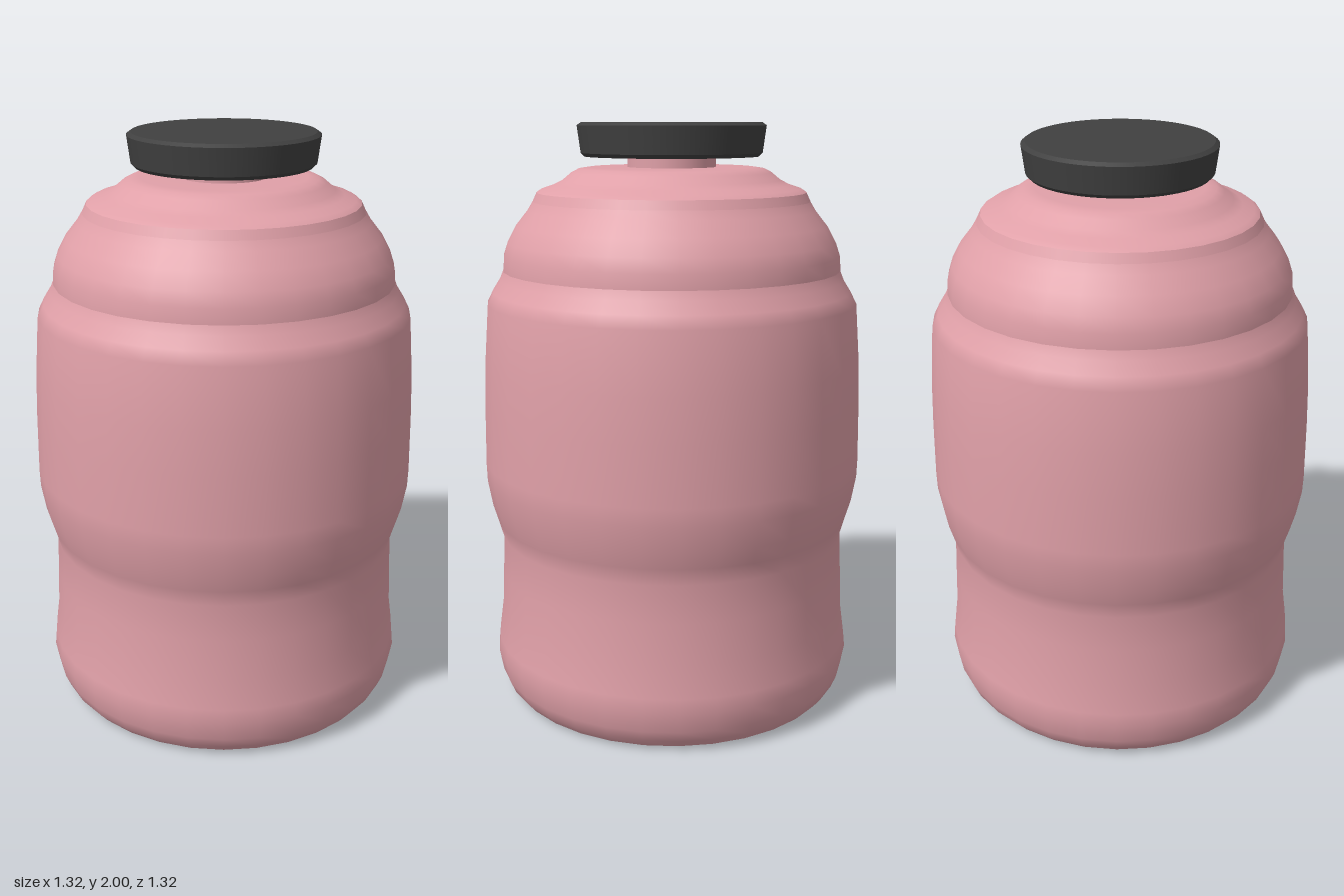
import * as THREE from 'three';

const pink = new THREE.MeshStandardMaterial({ color: 0xe0a0a8 });
pink.name = 'pink plastic';
const black = new THREE.MeshStandardMaterial({ color: 0x404040 });
black.name = 'black plastic';

// Turns smooth profile runs of [radius, height]; each new run starts a crease.
function turned(name, runs, segments, material) {
  const group = new THREE.Group();
  group.name = name;
  runs.forEach((run, i) => {
    const points = run.map(([r, y]) => new THREE.Vector2(r, y));
    const mesh = new THREE.Mesh(new THREE.LatheGeometry(points, segments), material);
    mesh.name = `${name}Section${i + 1}`;
    group.add(mesh);
  });
  return group;
}

export function createModel() {
  const model = new THREE.Group();
  model.name = 'bottle';

  // Body: dimpled base, waisted wall, stepped shoulder and flat top
  model.add(turned('body', [
    [[0, 0], [0.21, 0.065]],
    [[0.21, 0.065], [0.36, 0.03], [0.5, 0.012], [0.58, 0.01]],
    [[0.58, 0.01], [0.605, 0.04], [0.622, 0.08], [0.635, 0.15], [0.63, 0.2], [0.615, 0.31],
      [0.61, 0.45], [0.605, 0.58], [0.622, 0.64], [0.64, 0.7], [0.656, 0.79], [0.658, 0.85],
      [0.655, 1.05], [0.65, 1.2], [0.635, 1.4], [0.615, 1.44], [0.59, 1.48], [0.578, 1.51]],
    [[0.578, 1.51], [0.575, 1.56], [0.56, 1.605], [0.53, 1.66], [0.49, 1.71], [0.472, 1.74]],
    [[0.472, 1.74], [0.458, 1.77]],
    [[0.458, 1.77], [0.44, 1.782], [0.4, 1.795], [0.37, 1.81], [0.34, 1.835], [0.315, 1.848],
      [0.28, 1.853], [0.15, 1.853]],
  ], 32, pink));

  // Neck
  const neck = new THREE.Mesh(new THREE.CylinderGeometry(0.15, 0.15, 0.06, 32), pink);
  neck.name = 'neck';
  neck.position.y = 1.87;
  model.add(neck);

  // Cap: slightly flared disc with small bevels
  model.add(turned('cap', [
    [[0, 1.888], [0.295, 1.888]],
    [[0.295, 1.888], [0.307, 1.9]],
    [[0.307, 1.9], [0.319, 1.99]],
    [[0.319, 1.99], [0.305, 2]],
    [[0.305, 2], [0, 2]],
  ], 64, black));

  return model;
}
